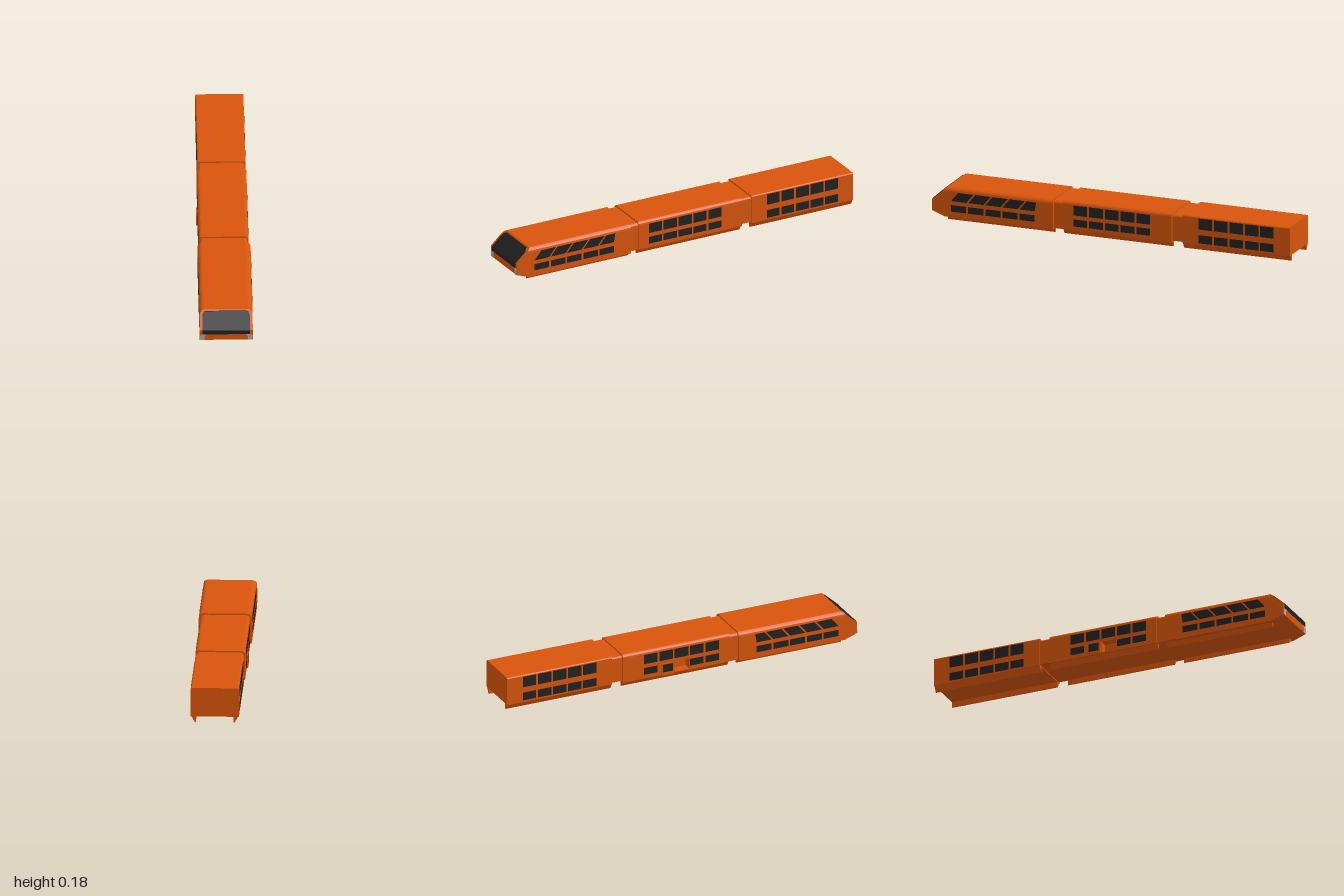
import * as THREE from 'three';

const orange = new THREE.MeshStandardMaterial({ color: 0xd8550c });
const glass = new THREE.MeshStandardMaterial({ color: 0x222222 });
const lamp = new THREE.MeshStandardMaterial({ color: 0xaaaaaa });

function add(parent, name, geometry, material, x = 0, y = 0, z = 0) {
  const mesh = new THREE.Mesh(geometry, material);
  mesh.name = name;
  mesh.position.set(x, y, z);
  parent.add(mesh);
  return mesh;
}

// Closed solid from stacked rows { y, w (right), l (left), z (front) } and a flat back
function hull(rows, back) {
  const pos = [];
  const quad = (a, b, c, d) => pos.push(...a, ...b, ...c, ...a, ...c, ...d);
  const p = rows.map(({ y, w, l = w, z }) => ({
    fl: [-l, y, z], fr: [w, y, z], bl: [-l, y, back], br: [w, y, back],
  }));
  for (let i = 0; i < p.length - 1; i++) {
    const a = p[i], b = p[i + 1];
    quad(a.fl, a.fr, b.fr, b.fl);
    quad(a.br, a.bl, b.bl, b.br);
    quad(a.fr, a.br, b.br, b.fr);
    quad(a.bl, a.fl, b.fl, b.bl);
  }
  const s = p[0], e = p[p.length - 1];
  quad(s.bl, s.br, s.fr, s.fl);
  quad(e.fl, e.fr, e.br, e.bl);
  const g = new THREE.BufferGeometry();
  g.setAttribute('position', new THREE.Float32BufferAttribute(pos, 3));
  g.computeVertexNormals();
  return g;
}

// Rows of a rounded roof edge ending at height top
function roofRows(w, top, r, zAt) {
  const rows = [];
  for (let i = 0; i <= 4; i++) {
    const a = (i / 4) * Math.PI / 2;
    const y = top - r + r * Math.sin(a);
    rows.push({ y, w: w - r + r * Math.cos(a), z: zAt(y) });
  }
  return rows;
}

function polygon(points, depth) {
  const shape = new THREE.Shape(points.map(([x, y]) => new THREE.Vector2(x, y)));
  return new THREE.ExtrudeGeometry(shape, { depth, bevelEnabled: false });
}

// Thin side pane: points are (z, y)
function sidePane(points) {
  return polygon(points.map(([z, y]) => [-z, y]), 0.002).rotateY(Math.PI / 2);
}

// Two rows of five windows on both sides
function windows(car, { w, z0, z1, upper, lower, slant = 0, skipLeft = [] }) {
  const pitch = (z0 - z1) / 5, gap = 0.011;
  [upper, lower].forEach(([y0, y1], row) => {
    for (let i = 0; i < 5; i++) {
      const a = z0 - i * pitch, b = a - pitch + gap;
      const s = row === 0 ? slant : 0;
      // the last slanted window ends upright
      const t = i === 4 ? s * 0.2 : s;
      const g = sidePane([[a, y0], [b, y0], [b - t, y1], [a - s, y1]]);
      add(car, 'windowLeft', g, glass, w - 0.001);
      if (!(row === 1 && skipLeft.includes(i))) add(car, 'windowRight', g, glass, -w - 0.001);
    }
  });
}

// Tapered skirts under both sides
function skirts(car, z0, z1) {
  const section = [[0.098, 0], [0.104, 0], [0.122, 0.034], [0.098, 0.034]];
  for (const s of [1, -1]) {
    const pts = section.map(([x, y]) => [s * x, y]);
    add(car, 'skirt', polygon(pts, z0 - z1), orange, 0, 0, z1);
  }
}

function group(parent, name, x = 0) {
  const g = new THREE.Group();
  g.name = name;
  g.position.x = x;
  parent.add(g);
  return g;
}

export function createModel() {
  const train = new THREE.Group();
  train.name = 'train';
  const top = 0.184;

  // Front car with sloped nose
  const front = group(train, 'frontCar');
  const W = 0.1375;
  const slope = (y) => 0.996 - Math.max(0, y - 0.109) * 1.1;
  const noseRows = [
    { y: 0.023, w: W, z: 0.925 },
    { y: 0.048, w: W, z: 0.996 },
    { y: 0.109, w: W, z: 0.996 },
    ...roofRows(W, top, 0.024, slope),
  ];
  add(front, 'frontBody', hull(noseRows, 0.32), orange);
  skirts(front, 0.92, 0.32);
  windows(front, {
    w: W, z0: 0.89, z1: 0.411, upper: [0.11, 0.158], lower: [0.053, 0.088], slant: 0.04,
  });

  // Windscreen wrapping over the nose fold
  const proud = (y) => slope(y) + 0.004;
  const screenRows = [
    { y: 0.085, w: 0.123, z: 1.0 },
    { y: 0.109, w: 0.123, z: 1.0 },
    ...roofRows(0.123, 0.178, 0.02, proud),
  ];
  add(front, 'windscreen', hull(screenRows, 0.9), glass);

  // Headlights
  const light = [[0.112, 0.048], [0.137, 0.048], [0.137, 0.072], [0.126, 0.084], [0.101, 0.084], [0.112, 0.07]];
  for (const s of [1, -1]) {
    add(front, 'headlight', polygon(light.map(([x, y]) => [s * x, y]), 0.008), lamp, 0, 0, 0.99);
  }

  // Middle car, in three lengths so that the doorway is recessed
  const middle = group(train, 'middleCar', -0.002);
  const M = 0.129;
  const plain = (w, z, y0, r) => [{ y: y0, w, z }, ...roofRows(w, top, r, () => z)];
  add(middle, 'middleBodyFront', hull(plain(M, 0.27, 0.028, 0.018), 0.04), orange);
  add(middle, 'middleBodyRear', hull(plain(M, -0.045, 0.028, 0.018), -0.34), orange);
  const d = 0.04, inner = M - 0.045;
  const doorway = [
    { y: 0.028, w: M, z: d }, { y: 0.034, w: M, z: d },
    { y: 0.034, w: M, l: inner, z: d }, { y: 0.093, w: M, l: inner, z: d },
    { y: 0.093, w: M, z: d }, ...roofRows(M, top, 0.018, () => d),
  ];
  add(middle, 'doorwayBody', hull(doorway, -0.045), orange);
  skirts(middle, 0.27, -0.34);
  windows(middle, {
    w: M, z0: 0.21, z1: -0.231, upper: [0.11, 0.163], lower: [0.05, 0.088], skipLeft: [2, 3],
  });

  // Sliding door standing open beside the doorway
  add(middle, 'slidingDoor', new THREE.BoxGeometry(0.008, 0.066, 0.072), orange, -0.132, 0.06, -0.086);
  add(middle, 'doorWindow', sidePane([[-0.058, 0.045], [-0.114, 0.045], [-0.114, 0.088], [-0.058, 0.088]]),
    glass, -0.137);

  // Rear car
  const rear = group(train, 'rearCar', -0.002);
  const R = 0.125;
  add(rear, 'rearBody', hull(plain(R, -0.4, 0.03, 0.008), -1), orange);
  skirts(rear, -0.4, -1);
  windows(rear, { w: R, z0: -0.49, z1: -0.921, upper: [0.115, 0.174], lower: [0.04, 0.084] });

  // Gangways between the cars
  add(train, 'frontGangway', hull(plain(0.124, 0.33, 0.035, 0.016).map((r) => ({ ...r, y: r.y - 0.008 })), 0.26),
    orange, -0.002);
  add(train, 'rearGangway', hull(plain(0.119, -0.33, 0.043, 0.012).map((r) => ({ ...r, y: r.y - 0.008 })), -0.41),
    orange, -0.002);

  return train;
}
